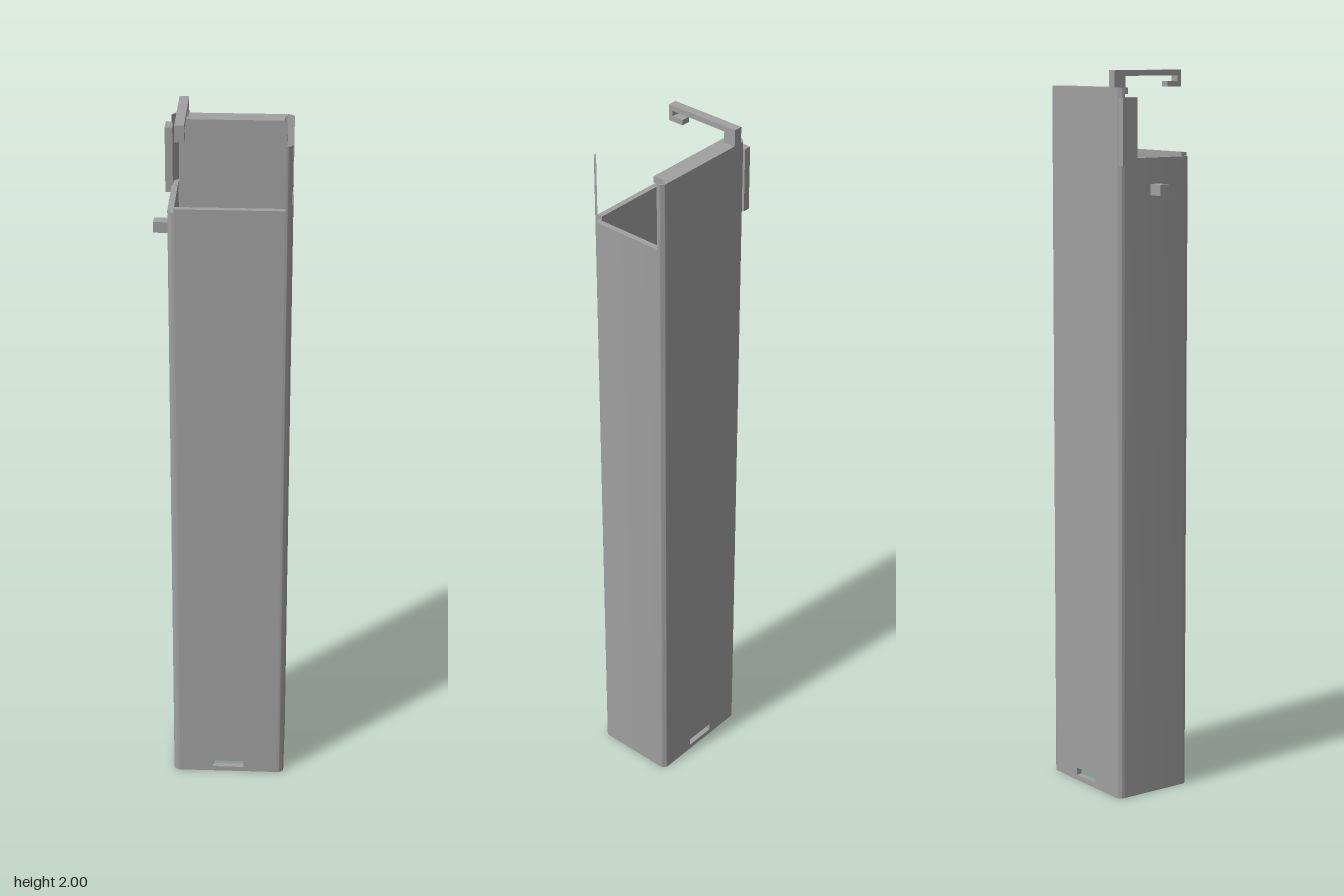
import * as THREE from 'three';
import { toCreasedNormals } from 'three/addons/utils/BufferGeometryUtils.js';

// Outer limits of the casing, corner radius and wall thickness
const L = -0.14, R = 0.182, B = -0.12, F = 0.118, RAD = 0.018, T = 0.016;

export function createModel() {
  const model = new THREE.Group();
  model.name = 'slottedCasing';
  const grey = new THREE.MeshStandardMaterial({ color: 0xa0a0a0 });
  grey.name = 'plainGrey';

  const add = (name, geometry) => {
    const mesh = new THREE.Mesh(geometry, grey);
    mesh.name = name;
    model.add(mesh);
    return mesh;
  };
  const box = (name, x0, x1, y0, y1, z0, z1) =>
    add(name, new THREE.BoxGeometry(x1 - x0, y1 - y0, z1 - z0))
      .position.set((x0 + x1) / 2, (y0 + y1) / 2, (z0 + z1) / 2);

  // Extrudes a plan shape (drawn in x, -z) upward
  const upright = (name, shape, y0, y1) => {
    const g = new THREE.ExtrudeGeometry(shape, { depth: y1 - y0, bevelEnabled: false, curveSegments: 8 });
    g.rotateX(-Math.PI / 2).translate(0, y0, 0);
    add(name, toCreasedNormals(g, 0.5));
  };

  // Side wall with rounded outer corners; s = -1 left, 1 right
  const sideShape = (s) => {
    const out = s < 0 ? L : R;
    const edge = out - s * RAD, inner = out - s * T;
    const p = new THREE.Shape();
    p.moveTo(edge, -F);
    p.absarc(edge, -F + RAD, RAD, -Math.PI / 2, s > 0 ? 0 : -Math.PI, s < 0);
    p.lineTo(out, -B - RAD);
    p.absarc(edge, -B - RAD, RAD, s > 0 ? 0 : Math.PI, Math.PI / 2, s < 0);
    p.lineTo(edge, -B - T);
    p.lineTo(inner, -B - T);
    p.lineTo(inner, -F + T);
    p.lineTo(edge, -F + T);
    p.closePath();
    return p;
  };

  // Quarter-round corner; sx, sz give the corner direction
  const cornerShape = (sx, sz) => {
    const cx = (sx < 0 ? L : R) - sx * RAD;
    const cy = -((sz < 0 ? B : F) - sz * RAD);
    const a0 = sx > 0 ? 0 : Math.PI, a1 = sz < 0 ? Math.PI / 2 : -Math.PI / 2;
    const p = new THREE.Shape();
    p.moveTo(cx, cy);
    p.absarc(cx, cy, RAD, sx < 0 && sz > 0 ? -Math.PI : a0, a1, sx * sz > 0);
    p.closePath();
    return p;
  };

  // Front or back wall with the small slot near the foot
  const slottedWall = (name, top, z0) => {
    const x0 = L + RAD, x1 = R - RAD;
    const p = new THREE.Shape();
    p.moveTo(x0, 0).lineTo(x1, 0).lineTo(x1, top).lineTo(x0, top).closePath();
    const slot = new THREE.Path();
    slot.moveTo(-0.025, 0.015).lineTo(-0.025, 0.036).lineTo(0.065, 0.036).lineTo(0.065, 0.015).closePath();
    p.holes.push(slot);
    const g = new THREE.ExtrudeGeometry(p, { depth: T, bevelEnabled: false });
    add(name, g.translate(0, 0, z0));
  };

  // Open rectangular casing
  upright('leftSideWall', sideShape(-1), 0, 1.77);
  upright('rightSideWall', sideShape(1), 0, 1.77);
  slottedWall('frontWall', 1.78, F - T);
  slottedWall('backWall', 1.955, B);

  // Raised back corners and thin front post
  upright('backCornerLeft', cornerShape(-1, -1), 1.77, 1.955);
  upright('backCornerRight', cornerShape(1, -1), 1.77, 1.955);
  upright('frontPost', cornerShape(1, 1), 1.77, 1.955);

  // Lip along the top of the back wall
  box('backLip', -0.112, 0.157, 1.938, 1.955, B + T, -0.07);

  // Plate and peg on the outer side
  box('sidePlate', -0.157, -0.137, 1.75, 1.93, B, -0.073);
  box('sidePeg', -0.184, L, 1.67, 1.7, -0.017, 0.014);

  // Hooked arm over the opening, drawn as one profile in (-z, y)
  const arm = new THREE.Shape();
  [[0.12, 1.95], [0.12, 2], [-0.1, 2], [-0.1, 1.955], [-0.055, 1.955], [-0.055, 1.97],
    [-0.088, 1.97], [-0.088, 1.985], [0.085, 1.985], [0.085, 1.95]]
    .forEach(([u, v], i) => (i ? arm.lineTo(u, v) : arm.moveTo(u, v)));
  arm.closePath();
  const armGeometry = new THREE.ExtrudeGeometry(arm, { depth: 0.025, bevelEnabled: false });
  add('hookArm', armGeometry.rotateY(Math.PI / 2).translate(-0.12, 0, 0));

  return model;
}
